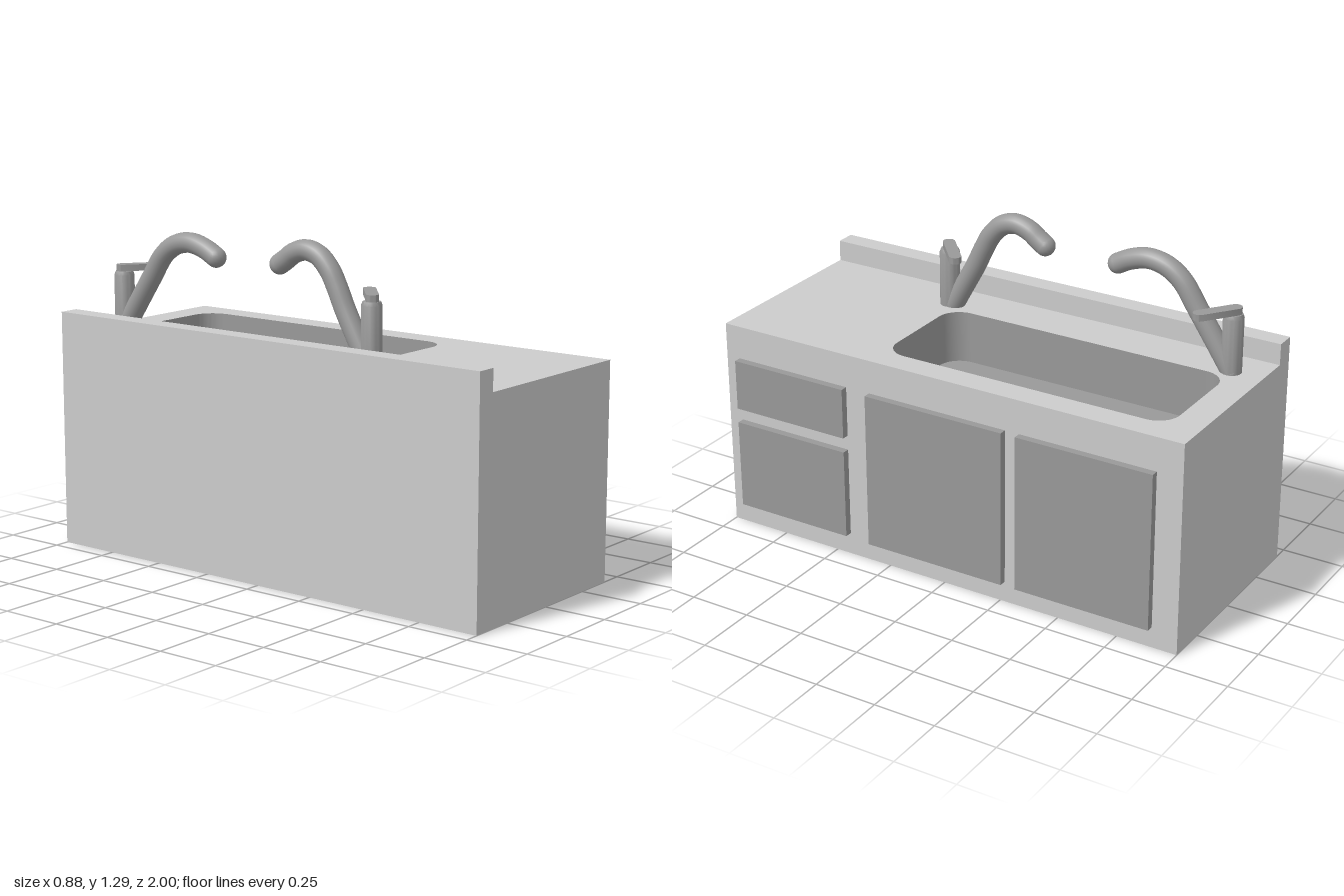
import * as THREE from 'three';
import { toCreasedNormals } from 'three/addons/utils/BufferGeometryUtils.js';

const light = new THREE.MeshStandardMaterial({ color: 0xcccccc });
const dark = new THREE.MeshStandardMaterial({ color: 0x999999 });
const darkThin = new THREE.MeshStandardMaterial({ color: 0x999999, side: THREE.DoubleSide });

const BACK = -0.44, FRONT = 0.41, SPLASH = -0.36, TOP = 0.855, BASIN_DEPTH = 0.21;

function add(parent, name, geometry, material) {
  const mesh = new THREE.Mesh(geometry, material);
  mesh.name = name;
  parent.add(mesh);
  return mesh;
}

// Box given by its minimum and maximum corners
function span(x0, x1, y0, y1, z0, z1) {
  return new THREE.BoxGeometry(x1 - x0, y1 - y0, z1 - z0)
    .translate((x0 + x1) / 2, (y0 + y1) / 2, (z0 + z1) / 2);
}

// Flat shape drawn in (x, -z), laid down facing up at height y
function flat(shape, y) {
  return new THREE.ShapeGeometry(shape, 8).rotateX(-Math.PI / 2).translate(0, y, 0);
}

// Basin outline with rounded corners, counter-clockwise
function basinOutline() {
  const x0 = -0.17, x1 = 0.305, y0 = -0.33, y1 = 0.88, r = 0.09;
  const s = new THREE.Shape();
  s.absarc(x1 - r, y0 + r, r, -Math.PI / 2, 0);
  s.absarc(x1 - r, y1 - r, r, 0, Math.PI / 2);
  s.absarc(x0 + r, y1 - r, r, Math.PI / 2, Math.PI);
  s.absarc(x0 + r, y0 + r, r, Math.PI, Math.PI * 1.5);
  return s.closePath();
}

// Vertical wall following an outline, facing inwards
function wall(outline, yTop, yBottom) {
  const pts = outline.getPoints(8);
  const pos = [], index = [];
  pts.forEach((p, i) => {
    pos.push(p.x, yTop, -p.y, p.x, yBottom, -p.y);
    if (i < pts.length - 1) {
      const a = i * 2;
      index.push(a, a + 2, a + 1, a + 1, a + 2, a + 3);
    }
  });
  const g = new THREE.BufferGeometry();
  g.setAttribute('position', new THREE.Float32BufferAttribute(pos, 3));
  g.setIndex(index);
  return toCreasedNormals(g, 0.6);
}

// Lever: a flat bar with round ends, from the origin to (dx, dz)
function leverGeometry(dx, dz) {
  const length = Math.hypot(dx, dz), r = 0.024;
  const s = new THREE.Shape();
  s.absarc(length, 0, r, -Math.PI / 2, Math.PI / 2);
  s.absarc(0, 0, r, Math.PI / 2, Math.PI * 1.5);
  return toCreasedNormals(new THREE.ExtrudeGeometry(s, { depth: 0.026, bevelEnabled: false, curveSegments: 8 }), 0.6)
    .rotateX(-Math.PI / 2).rotateY(Math.atan2(-dz, dx));
}

// Tap: post, lever and a curved spout whose path is given as [z, y] pairs
function tap(name, z, leverDz, path) {
  const x = -0.215, r = 0.04;
  const group = new THREE.Group();
  group.name = name;
  const profile = [[0, TOP], [r, TOP], [r, 1.075], [r - 0.006, 1.09], [0, 1.09]]
    .map(([a, b]) => new THREE.Vector2(a, b));
  add(group, 'tapPost', toCreasedNormals(new THREE.LatheGeometry(profile, 24), 0.6), dark).position.set(x, 0, z);
  add(group, 'lever', leverGeometry(0.12, leverDz), dark)
    .position.set(x - 0.004, 1.09, z - Math.sign(leverDz) * 0.006);

  const points = path.map(([pz, py]) => new THREE.Vector3(x, py, pz));
  const curve = new THREE.CatmullRomCurve3(points);
  add(group, 'spout', new THREE.TubeGeometry(curve, 48, r, 20), dark);
  add(group, 'spoutTip', new THREE.SphereGeometry(r, 20, 14), dark).position.copy(points[points.length - 1]);
  return group;
}

export function createModel() {
  const model = new THREE.Group();
  model.name = 'sinkCabinet';

  // Cabinet: a box without its top face, closed by a counter with a basin opening
  const body = span(BACK, FRONT, 0, TOP, -1, 1);
  const faces = Array.from(body.index.array);
  faces.splice(12, 6);
  body.setIndex(faces);
  body.clearGroups();
  add(model, 'cabinet', body, light);
  add(model, 'backsplash', span(BACK, SPLASH, TOP, 0.94, -1, 1), light);

  const counter = new THREE.Shape([[SPLASH, -1], [FRONT, -1], [FRONT, 1], [SPLASH, 1]]
    .map(([a, b]) => new THREE.Vector2(a, b)));
  const outline = basinOutline();
  counter.holes.push(outline);
  add(model, 'counterTop', flat(counter, TOP), light);

  // Basin
  add(model, 'basinWall', wall(outline, TOP, TOP - BASIN_DEPTH), darkThin);
  add(model, 'basinFloor', flat(outline, TOP - BASIN_DEPTH), darkThin);

  // Door and drawer fronts: y range, z range
  const fronts = [
    ['upperDrawer', 0.515, 0.72, 0.435, 0.94],
    ['lowerDrawer', 0.09, 0.455, 0.435, 0.94],
    ['middleDoor', 0.085, 0.72, -0.27, 0.33],
    ['endDoor', 0.085, 0.72, -0.895, -0.33],
  ];
  for (const [name, y0, y1, z0, z1] of fronts) {
    add(model, name, span(FRONT, 0.44, y0, y1, z0, z1), dark);
  }

  // Taps, their spouts facing each other
  model.add(tap('nearTap', 0.365, -0.105, [[0.35, 0.85], [0.295, 0.95], [0.243, 1.045], [0.205, 1.125],
    [0.171, 1.185], [0.12, 1.235], [0.06, 1.252], [0, 1.235], [-0.038, 1.208], [-0.068, 1.188]]));
  model.add(tap('farTap', -0.87, 0.09, [[-0.875, 0.85], [-0.8, 0.962], [-0.725, 1.072], [-0.655, 1.172],
    [-0.59, 1.217], [-0.514, 1.231], [-0.44, 1.213], [-0.385, 1.185]]));
  return model;
}
